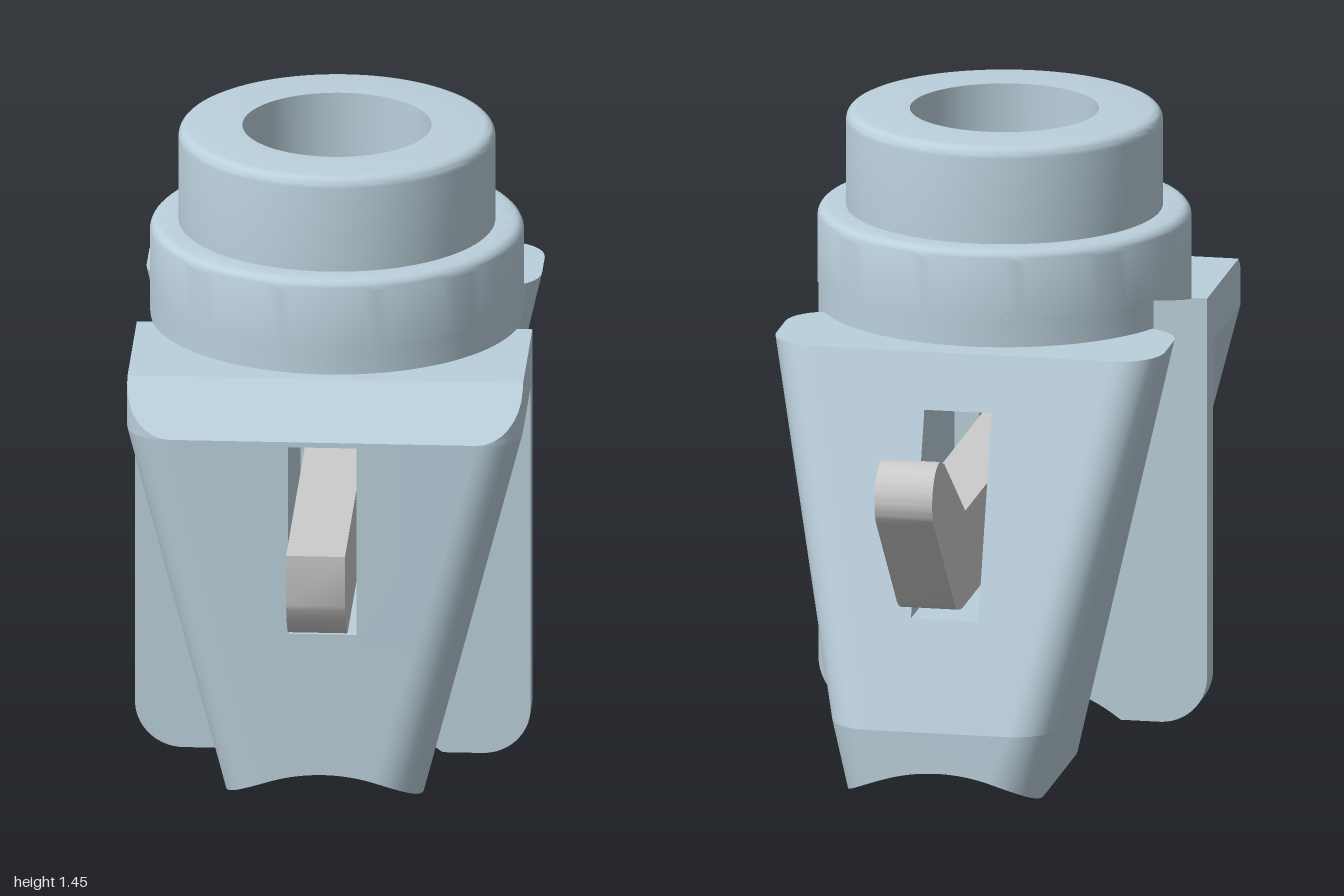
import * as THREE from 'three';
import { toCreasedNormals } from 'three/addons/utils/BufferGeometryUtils.js';

const BODY = new THREE.MeshStandardMaterial({ color: 0xbbd0dc, side: THREE.DoubleSide });
const GREY = new THREE.MeshStandardMaterial({ color: 0xcccccc });
const W = 0.45, R = 0.1, STEPS = 8;          // half width, corner fillet radius and its steps
const GAP_BACK = -0.025, GAP_FRONT = 0.255;  // open space between the two legs
const BORE = 0.215, COLLAR = 0.425, COLLAR_Z = 0.16;

const archY = x => -0.325 + Math.sqrt(0.41 * 0.41 - x * x);
const range = (n, f) => Array.from({ length: n + 1 }, (_, i) => f(i / n));
const toShape = pts => new THREE.Shape(pts.map(p => new THREE.Vector2(p[0], p[1])));

function part(name, geometry, material = BODY) {
  const mesh = new THREE.Mesh(toCreasedNormals(geometry, 0.5), material);
  mesh.name = name;
  return mesh;
}

function moveVertices(geometry, rule) {
  const p = geometry.attributes.position, v = new THREE.Vector3();
  for (let i = 0; i < p.count; i++) {
    rule(v.fromBufferAttribute(p, i));
    p.setXYZ(i, v.x, v.y, v.z);
  }
  return geometry;
}

// Window through which the lever passes
function addSlot(shape) {
  shape.holes.push(new THREE.Path([[-0.078, 0.425], [-0.078, 0.875], [0.078, 0.875], [0.078, 0.425]]
    .map(p => new THREE.Vector2(...p))));
  return shape;
}

// Points of the arch under a leg, from x = -w to x = w
const archPoints = w => range(28, t => { const x = (2 * t - 1) * w; return [x, archY(x)]; });

// Fillet layers going away from an end face: depth from the face and inset of the sides
const fillet = range(STEPS, t => {
  const a = t * Math.PI / 2;
  return { d: R * (1 - Math.sin(a)), inset: R * (1 - Math.cos(a)) };
});

// Tapered block whose outline shrinks layer by layer to round its upright edges
function taperedBlock(shape, layers, halfWidth) {
  const n = layers.length - 1;
  const g = new THREE.ExtrudeGeometry(shape, { depth: 1, steps: n, bevelEnabled: false });
  return moveVertices(g, v => {
    const layer = layers[Math.round(v.z * n)];
    const inSlot = Math.abs(v.x) < 0.08 && v.y > 0.4 && v.y < 0.88;
    const onArch = v.y < 0.1;
    if (!inSlot) v.x *= 1 - layer.inset / halfWidth(onArch ? 0.02 : v.y);
    if (onArch) v.y = archY(v.x);
    v.z = layer.z(v.y);
  });
}

// Plan outline (x, z) raised between two heights
function planBlock(points, y0, y1) {
  return new THREE.ExtrudeGeometry(toShape(points), { depth: y1 - y0, bevelEnabled: false })
    .rotateX(Math.PI / 2).translate(0, y1, 0);
}

function frontLeg() {
  const leg = new THREE.Group();
  leg.name = 'frontLeg';

  // Full-width plate with rounded feet
  const s = new THREE.Shape();
  s.moveTo(-W, 0.885);
  s.lineTo(-W, 0.11);
  s.absarc(-W + 0.11, 0.11, 0.11, Math.PI, 1.5 * Math.PI, false);
  archPoints(0.25).forEach(p => s.lineTo(p[0], Math.max(0, p[1])));
  s.absarc(W - 0.11, 0.11, 0.11, -Math.PI / 2, 0, false);
  s.lineTo(W, 0.885);
  const plate = new THREE.ExtrudeGeometry(addSlot(s), { depth: 0.07, bevelEnabled: false, curveSegments: 10 });
  leg.add(part('frontPlate', plate.translate(0, 0, GAP_FRONT)));

  // Tapered boss in front of the plate
  const layers = [{ inset: 0, z: () => 0.325 },
    ...fillet.map(f => ({ inset: f.inset, z: () => 0.73 - f.d }))];
  const boss = addSlot(toShape([...archPoints(0.225), [W, 0.885], [-W, 0.885]]));
  leg.add(part('frontBoss', taperedBlock(boss, layers, y => 0.225 + 0.225 * (y - 0.02) / 0.865)));

  // Top slab, with a chamfered and rounded front
  leg.add(part('frontTop', planBlock([[-W, GAP_FRONT], [W, GAP_FRONT], [W, 0.617], [-W, 0.617]], 0.885, 1)));
  const side = fillet.map(f => [W - f.inset, 0.73 - f.d]);
  const nose = planBlock([[-W, 0.617], [W, 0.617], ...side,
    ...side.slice().reverse().map(p => [-p[0], p[1]])], 0.885, 1);
  leg.add(part('frontChamfer', moveVertices(nose, v => {
    if (v.y > 0.95) v.y = 0.887 + (0.73 - v.z);
  })));
  return leg;
}

function rearLeg() {
  const leg = new THREE.Group();
  leg.name = 'rearLeg';
  const BEND = 0.18;
  const halfWidth = y => 0.225 + 0.225 * (y - 0.02) / 0.98;
  const backZ = y => y < BEND ? -0.61 : -0.61 + 0.28 * (y - BEND) / (1 - BEND);
  const layers = [
    ...fillet.slice().reverse().map(f => ({ inset: f.inset, z: y => backZ(y) + f.d })),
    ...fillet.map(f => ({ inset: f.inset, z: () => GAP_BACK - f.d }))];
  const b = halfWidth(BEND);
  const foot = toShape([...archPoints(0.225), [b, BEND], [-b, BEND]]);
  const upper = addSlot(toShape([[-b, BEND], [b, BEND], [W, 1], [-W, 1]]));
  leg.add(part('rearFoot', taperedBlock(foot, layers, halfWidth)));
  leg.add(part('rearUpper', taperedBlock(upper, layers, halfWidth)));
  return leg;
}

function collar() {
  const group = new THREE.Group();
  group.name = 'collar';

  // Stepped ring with rounded rims and a bore
  const rim = (r, y, e) => range(5, t => {
    const a = t * Math.PI / 2;
    return new THREE.Vector2(r - e + e * Math.cos(a), y - e + e * Math.sin(a));
  });
  const profile = [new THREE.Vector2(COLLAR, 1.065), ...rim(COLLAR, 1.225, 0.025),
    new THREE.Vector2(0.36, 1.225), ...rim(0.36, 1.45, 0.025),
    new THREE.Vector2(BORE, 1.45), new THREE.Vector2(BORE, 1.065)];
  group.add(part('steppedRing', new THREE.LatheGeometry(profile, 96).translate(0, 0, COLLAR_Z)));

  // Lower edge of the ring: flat over the legs, sloping above the gap
  const edge = (r, z) => Math.sqrt(Math.max(0, r * r - (z - COLLAR_Z) ** 2));
  const bands = [[COLLAR_Z - COLLAR, GAP_BACK, 'collarBack'],
    [GAP_BACK, GAP_FRONT, 'collarBridge'], [GAP_FRONT, COLLAR_Z + COLLAR, 'collarFront']];
  for (const [z0, z1, name] of bands) {
    for (const s of [-1, 1]) {
      const zs = range(32, t => z0 + (z1 - z0) * (1 - Math.cos(t * Math.PI)) / 2);
      const outer = zs.map(z => [s * edge(COLLAR, z), z]);
      const inner = zs.slice(1, -1).reverse().map(z => [s * edge(BORE, z), z]);
      const ends = [[s * edge(BORE, z1), z1], [s * edge(BORE, z0), z0]];
      const g = planBlock([...outer, ends[0], ...inner, ends[1]], 1, 1.066);
      if (name === 'collarBridge') moveVertices(g, v => {
        if (v.y < 1.03) v.y = 1 + 0.065 * (GAP_FRONT - v.z) / (GAP_FRONT - GAP_BACK);
      });
      group.add(part(name, g));
    }
  }
  return group;
}

// Cranked lever, drawn in side profile (z, y)
function lever() {
  const s = new THREE.Shape();
  s.moveTo(1, 0.71);
  s.lineTo(-0.62, 0.71);
  s.lineTo(-0.865, 0.885);
  s.absarc(-0.92, 0.82, 0.08, 0.96, Math.PI + 0.75 * -1 + 1.57, false);
  s.lineTo(-0.745, 0.525);
  s.quadraticCurveTo(-0.71, 0.49, -0.64, 0.49);
  s.lineTo(0.88, 0.49);
  s.quadraticCurveTo(0.96, 0.49, 1, 0.59);
  const g = new THREE.ExtrudeGeometry(s, { depth: 0.134, bevelEnabled: false, curveSegments: 16 });
  return part('lever', g.rotateY(-Math.PI / 2).translate(0.067, 0, 0), GREY);
}

export function createModel() {
  const model = new THREE.Group();
  model.name = 'clampHead';
  model.add(frontLeg(), rearLeg(), collar(), lever());
  // Shape (x, y, z) with the extruded lever turned so that its profile runs along z
  return model;
}
